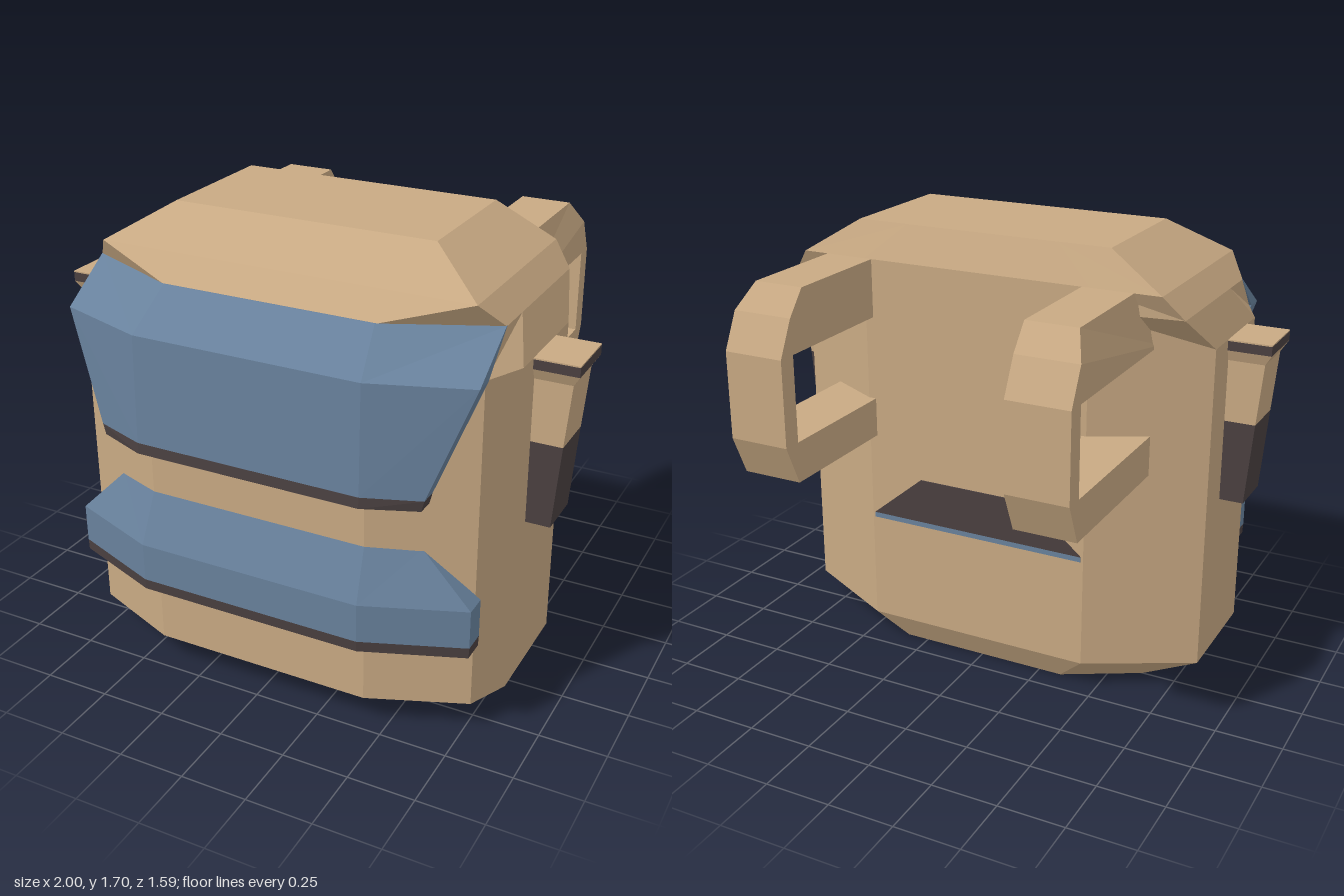
import * as THREE from 'three';

const mat = (name, color, extra = {}) => {
  const m = new THREE.MeshStandardMaterial({ color, flatShading: true, ...extra });
  m.name = name;
  return m;
};

// Full ring from its +x half, listed back to front as [x, z].
const sym = (half) => [...half, ...half.map(([x, z]) => [-x, z]).reverse()];

// Loft closed rings {y, pts}, with diagonals mirrored about the middle and both ends capped.
function loft(rings) {
  const n = rings[0].pts.length, pos = [];
  const p = (r, i) => [rings[r].pts[i % n][0], rings[r].y, rings[r].pts[i % n][1]];
  const tri = (...v) => v.forEach((q) => pos.push(...q));
  for (let r = 0; r < rings.length - 1; r++) {
    for (let i = 0; i < n; i++) {
      const a0 = p(r, i), a1 = p(r, i + 1), b0 = p(r + 1, i), b1 = p(r + 1, i + 1);
      if (i < n / 2) { tri(a1, a0, b0); tri(a1, b0, b1); }
      else { tri(a1, a0, b1); tri(a0, b0, b1); }
    }
  }
  const top = rings.length - 1;
  for (let i = 0; i < n / 2 - 1; i++) {
    const j = n - 1 - i;
    tri(p(0, i), p(0, i + 1), p(0, j)); tri(p(0, i + 1), p(0, j - 1), p(0, j));
    tri(p(top, i + 1), p(top, i), p(top, j)); tri(p(top, j - 1), p(top, i + 1), p(top, j));
  }
  const g = new THREE.BufferGeometry();
  g.setAttribute('position', new THREE.Float32BufferAttribute(pos, 3));
  g.computeVertexNormals();
  return g;
}

export function createModel() {
  const root = new THREE.Group();
  root.name = 'backpack';
  const tan = mat('tan canvas', 0xc8a983);
  const blue = mat('blue cloth', 0x68819c);
  const dark = mat('dark trim', 0x4a4040);
  const add = (name, geo, material) => {
    const m = new THREE.Mesh(geo, material);
    m.name = name;
    root.add(m);
  };

  // Main bag
  const wall = [[0.45, -0.215], [0.84, -0.01], [0.84, 0.43], [0.77, 0.58], [0.42, 0.72]];
  add('bag', loft([
    { y: 0, pts: sym([[0.34, -0.155], [0.62, 0], [0.62, 0.38], [0.57, 0.46], [0.32, 0.55]]) },
    { y: 0.11, pts: sym(wall) },
    { y: 1.35, pts: sym(wall) },
    { y: 1.485, pts: sym([[0.45, -0.215], [0.78, -0.17], [0.78, 0.3], [0.78, 0.44], [0.4, 0.61]]) },
    { y: 1.57, pts: sym([[0.45, -0.215], [0.71, -0.213], [0.71, 0.3], [0.71, 0.52], [0.4, 0.52]]) },
    { y: 1.7, pts: sym([[0.3, -0.155], [0.5, -0.155], [0.5, 0.2], [0.5, 0.36], [0.3, 0.36]]) },
  ]), tan);

  // Curved band: corner (cx, cz), middle (mx, mz), back edge depths
  const band = (y, cx, cz, mx, mz, backC, backM) =>
    ({ y, pts: sym([[mx, backM], [cx, backC], [cx, cz], [mx, mz]]) });

  // Front flap with trimmed hem
  const hem = band(0.95, 0.63, 0.71, 0.43, 0.782, 0.645, 0.7);
  add('flap', loft([
    hem,
    band(1.35, 0.78, 0.65, 0.43, 0.77, 0.58, 0.7),
    band(1.487, 0.78, 0.44, 0.4, 0.612, 0.435, 0.6),
  ]), blue);
  add('flapTrim', loft([band(0.91, 0.62, 0.71, 0.43, 0.785, 0.645, 0.7), hem]), dark);

  // Lower front pocket with trimmed base
  const base = band(0.4, 0.787, 0.66, 0.43, 0.797, 0.575, 0.65);
  add('frontPocket', loft([
    base,
    band(0.545, 0.787, 0.66, 0.43, 0.797, 0.575, 0.65),
    band(0.73, 0.6, 0.645, 0.42, 0.72, 0.64, 0.65),
  ]), blue);
  add('frontPocketTrim', loft([band(0.36, 0.785, 0.66, 0.43, 0.795, 0.575, 0.65), base]), dark);

  // Thin patch on the back
  const strip = (w, z) => sym([[w, -0.219], [w, z]]);
  add('backPatchEdge', loft([{ y: 0.535, pts: strip(0.44, -0.212) }, { y: 0.555, pts: strip(0.44, -0.212) }]), blue);
  add('backPatch', loft([{ y: 0.555, pts: strip(0.44, -0.212) }, { y: 0.73, pts: strip(0.23, -0.212) }]), dark);

  // Strap loop outline in (depth, height)
  const outline = [[0.05, 1.57], [0.655, 1.57], [0.73, 1.48], [0.795, 1.35], [0.795, 1.03],
    [0.73, 0.88], [0.05, 0.88], [0.05, 1.03], [0.725, 1.03], [0.725, 1.35], [0.05, 1.35]];

  for (const [side, s] of [['left', 1], ['right', -1]]) {
    // Shoulder strap, tapered at its outer top edge
    const strap = new THREE.ExtrudeGeometry(
      new THREE.Shape(outline.map(([d, y]) => new THREE.Vector2(d, y))),
      { depth: 0.23, bevelEnabled: false });
    strap.rotateY(Math.PI / 2);
    strap.translate(s > 0 ? 0.42 : -0.65, 0, 0);
    const v = strap.attributes.position;
    for (let i = 0; i < v.count; i++) {
      if (v.getY(i) > 1.55 && Math.abs(v.getX(i)) > 0.6) v.setX(i, s * 0.61);
    }
    strap.computeVertexNormals();
    add(side + 'Strap', strap, tan);

    // Side pouch: dark base, tan body with flared rim, dark lid
    const box = (y, x, z0, z1) => {
      const pts = [[0.8, z0], [x, z0], [x, z1], [0.8, z1]];
      return { y, pts: s > 0 ? pts : pts.map(([a, b]) => [-a, b]).reverse() };
    };
    const mid = box(1.04, 0.955, 0.135, 0.32), rim = box(1.31, 1, 0.12, 0.338);
    add(side + 'PouchBase', loft([box(0.73, 0.93, 0.135, 0.32), mid]), dark);
    add(side + 'Pouch', loft([mid, box(1.27, 0.975, 0.135, 0.32), rim]), tan);
    add(side + 'PouchLid', loft([rim, box(1.345, 1, 0.12, 0.338)]), dark);
    // Tan cover on the lid
    add(side + 'PouchCover', loft([box(1.345, 1, 0.12, 0.338), box(1.35, 1, 0.12, 0.338)]), tan);
  }
  return root;
}
